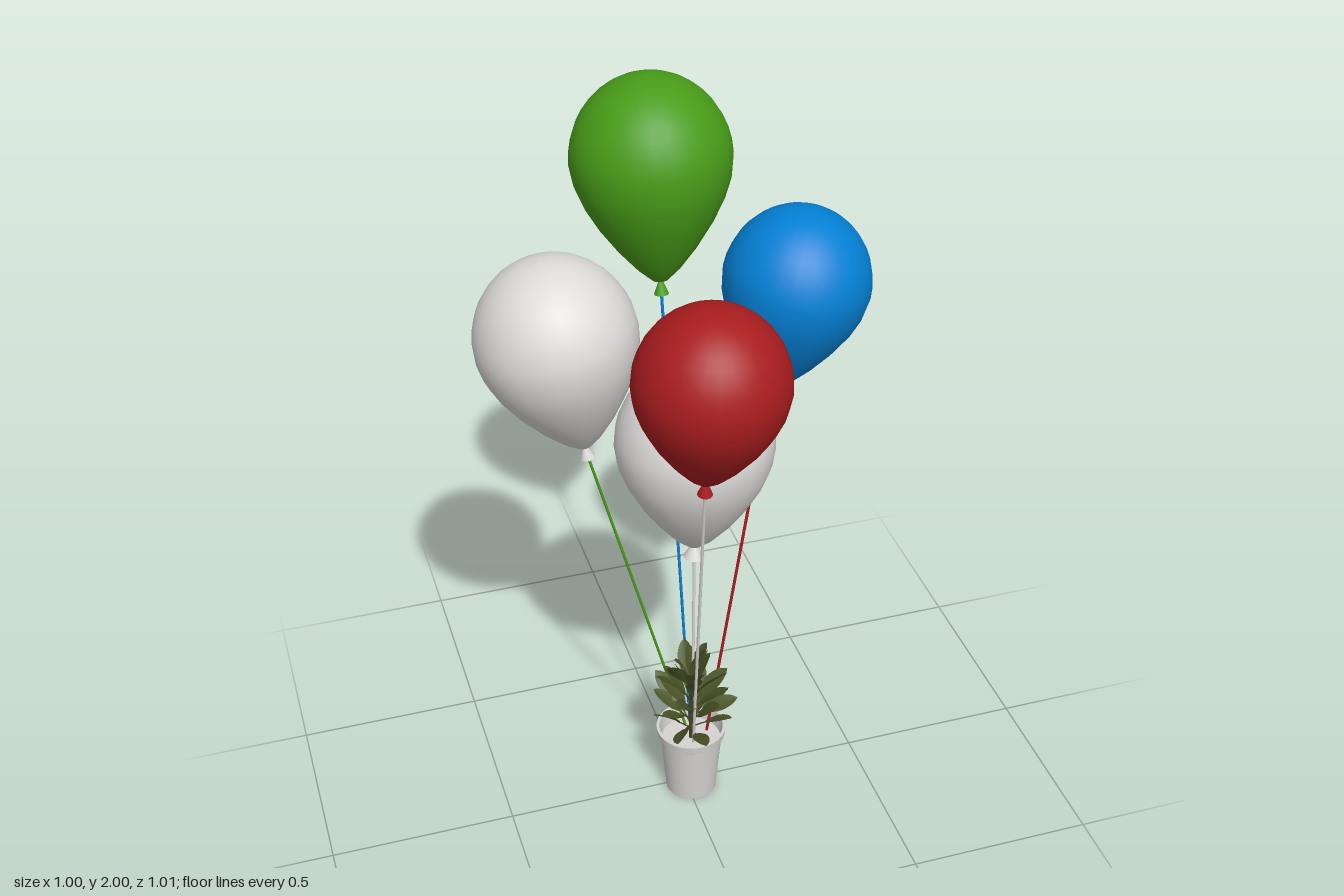
import * as THREE from 'three';

const UP = new THREE.Vector3(0, 1, 0);
const BELLY = 1.57; // height of the widest ring above the tip, in radii
const mat = (name, color, side = THREE.FrontSide) => {
  const m = new THREE.MeshStandardMaterial({ color, side });
  m.name = name;
  return m;
};

// Full teardrop profile for a balloon of radius 1, tip at the origin
function balloonGeometry() {
  const lower = [[0, 0], [0.1, 0.01], [0.28, 0.18], [0.5, 0.45], [0.71, 0.76], [0.87, 1.06], [0.965, 1.32]];
  const pts = lower.map(([x, y]) => new THREE.Vector2(x, y));
  for (let i = 0; i <= 10; i++) {
    const a = (i / 10) * Math.PI / 2;
    pts.push(new THREE.Vector2(i === 10 ? 0 : Math.cos(a), BELLY + 1.05 * Math.sin(a)));
  }
  return new THREE.LatheGeometry(pts, 28);
}

// Blunt oval leaf along +y, lightly folded along its midrib and bent outward
function leafGeometry(length, width) {
  const g = new THREE.PlaneGeometry(1, 1, 4, 10);
  const p = g.attributes.position;
  for (let i = 0; i < p.count; i++) {
    const s = p.getX(i), u = p.getY(i) + 0.5;
    const w = width * Math.pow(Math.max(0, Math.sin(Math.PI * Math.pow(u, 1.1))), 0.65) + 0.002;
    p.setXYZ(i, s * w, u * length, 0.014 * u * u - Math.abs(s) * w * 0.18);
  }
  g.computeVertexNormals();
  return g;
}

// Straight thin rod between two points
function rod(a, b, radius, material, name) {
  const d = b.clone().sub(a);
  const m = new THREE.Mesh(new THREE.CylinderGeometry(radius, radius, d.length(), 6), material);
  m.position.copy(a).addScaledVector(d, 0.5);
  m.quaternion.setFromUnitVectors(UP, d.normalize());
  m.name = name;
  return m;
}

export function createModel() {
  const model = new THREE.Group();
  model.name = 'balloonPlant';
  const white = mat('white', 0xdddbd9);
  const red = mat('red', 0xa91c1e);
  const blue = mat('blue', 0x0380d4);
  const green = mat('green', 0x489c18);
  const potMat = mat('potWhite', 0xd6d4d2);
  const leafMat = mat('leafGreen', 0x4a5427, THREE.DoubleSide);
  const stemMat = mat('stem', 0x474527);

  // Balloons: tip, centre above the tip (x, z), radius, knot size, colours, foot of the string
  const balloons = [
    ['centreBalloon', [0.023, 0.84, 0.012], [0.024, 0.011], 0.203, 1.45, white, white, [0.02, 0.18, 0.012]],
    ['rightBalloon', [-0.24, 1.152, -0.066], [-0.298, -0.077], 0.202, 1, white, green, [0.012, 0.18, -0.03]],
    ['frontBalloon', [-0.036, 1.233, 0.285], [-0.034, 0.318], 0.186, 1, red, white, [0.012, 0.18, 0.045]],
    ['leftBalloon', [0.254, 1.234, -0.07], [0.312, -0.075], 0.186, 1, blue, red, [0.062, 0.18, 0.01]],
    ['backBalloon', [0.018, 1.475, -0.26], [0.01, -0.305], 0.202, 1, green, blue, [0.03, 0.18, -0.045]],
  ];
  const shape = balloonGeometry();
  for (const [name, tip, [cx, cz], r, knotSize, skin, cord, foot] of balloons) {
    const h = BELLY * r, dx = cx - tip[0], dz = cz - tip[2];
    const dir = new THREE.Vector3(dx, Math.sqrt(h * h - dx * dx - dz * dz), dz).normalize();
    const g = new THREE.Group();
    g.name = name;
    const body = new THREE.Mesh(shape, skin);
    body.scale.setScalar(r);
    body.name = 'balloonBody';
    // Flared knot under the tip
    const knot = new THREE.Mesh(new THREE.CylinderGeometry(0.004, 0.019, 0.032, 14), skin);
    knot.scale.set(knotSize, 1.2, knotSize);
    knot.position.y = -0.018;
    knot.name = 'knot';
    g.add(body, knot);
    g.position.set(...tip);
    g.quaternion.setFromUnitVectors(UP, dir);
    const top = new THREE.Vector3(...tip).addScaledVector(dir, -0.025);
    model.add(g, rod(new THREE.Vector3(...foot), top, 0.004, cord, 'string'));
  }

  const plant = new THREE.Group();
  plant.name = 'pottedPlant';
  plant.position.set(0.015, 0, 0.015);
  model.add(plant);

  // Tapered pot with a straight rim and an open hollow; doubled points keep corners crisp
  const potPts = [[0, 0], [0.07, 0], [0.086, 0.19], [0.093, 0.191], [0.096, 0.215], [0.088, 0.215], [0.082, 0.17], [0, 0.17]];
  const profile = potPts.flatMap(([x, y]) => [new THREE.Vector2(x, y), new THREE.Vector2(x, y + 0.0002)]);
  const pot = new THREE.Mesh(new THREE.LatheGeometry(profile.slice(1, -1), 32), potMat);
  pot.name = 'pot';
  plant.add(pot, rod(new THREE.Vector3(0, 0.17, 0), new THREE.Vector3(0, 0.4, 0), 0.006, stemMat, 'stem'));

  // Leaves spiral up the stem, spreading below and upright at the crown
  const leafShape = leafGeometry(0.11, 0.043);
  const count = 38;
  for (let i = 0; i < count; i++) {
    const t = i / (count - 1);
    const leaf = new THREE.Group();
    leaf.name = 'leaf';
    leaf.position.y = 0.195 + 0.185 * t;
    leaf.rotation.order = 'YXZ';
    leaf.rotation.set(1.05 - 0.85 * t + 0.2 * Math.sin(i * 5.3), i * 2.4, 0.15 * Math.sin(i * 3.1));
    const blade = new THREE.Mesh(leafShape, leafMat);
    const reach = 0.025 + 0.022 * (1 - t);
    blade.position.y = reach;
    blade.rotation.y = 0.6 * Math.sin(i * 4.1);
    blade.scale.setScalar(0.95 + 0.1 * Math.sin(i * 1.7));
    blade.name = 'leafBlade';
    const stalk = rod(new THREE.Vector3(), new THREE.Vector3(0, reach + 0.01, 0), 0.002, stemMat, 'leafStalk');
    leaf.add(blade, stalk);
    plant.add(leaf);
  }
  return model;
}
